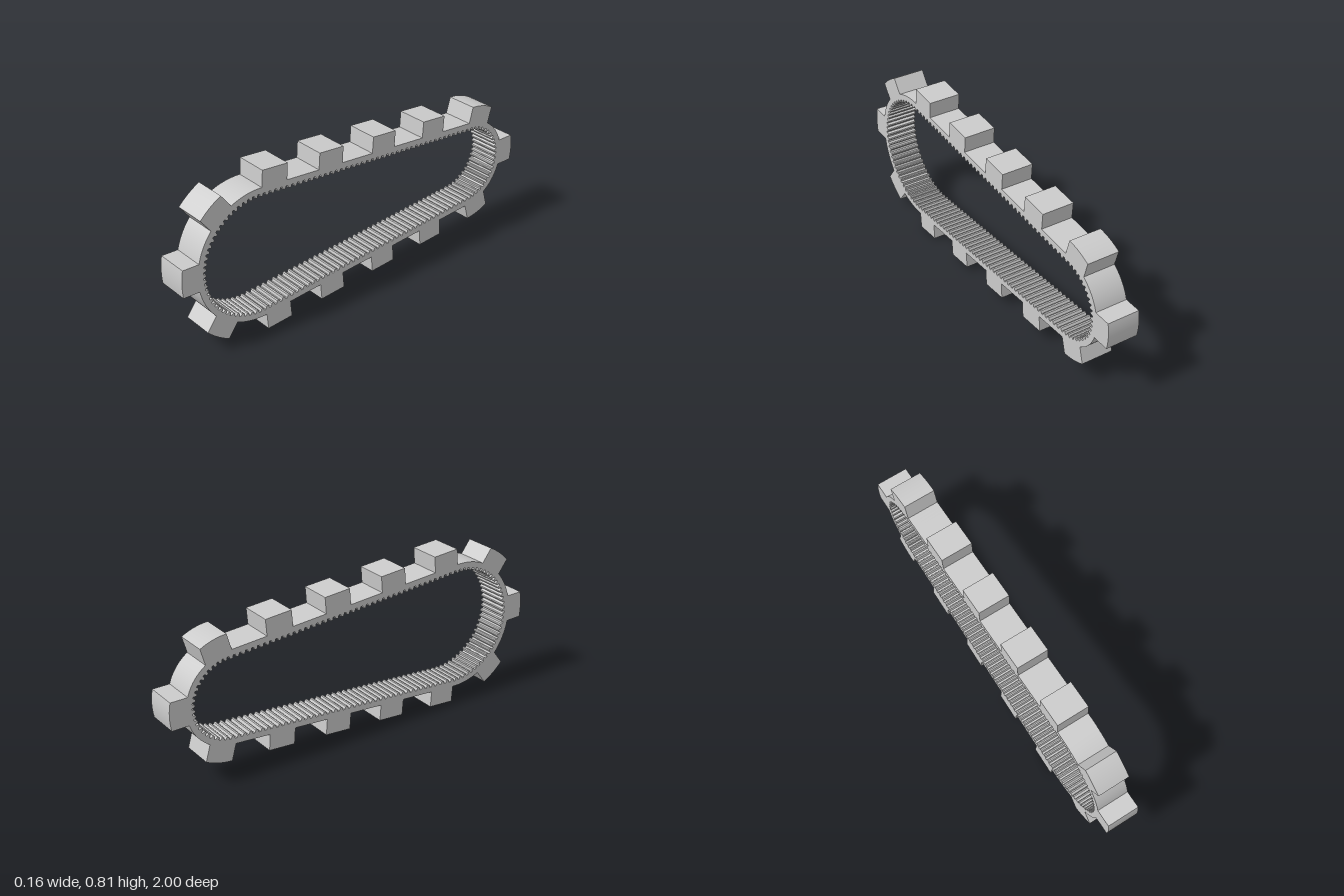
import * as THREE from 'three';
import { toCreasedNormals } from 'three/addons/utils/BufferGeometryUtils.js';

// Belt wraps a large front wheel and a small rear wheel (z, radius), both at height CY
const CY = 0.407, WIDTH = 0.158;
const FRONT = { z: 0.593, r: 0.326 }, REAR = { z: -0.69, r: 0.229 };
const DIST = FRONT.z - REAR.z;
const TILT = Math.asin((FRONT.r - REAR.r) / DIST);
const RUN = DIST * Math.cos(TILT);               // straight part
const REAR_ARC = (Math.PI / 2 - TILT) * REAR.r;  // rear tip to straight part
const FRONT_ARC = (Math.PI / 2 + TILT) * FRONT.r;
const HALF = REAR_ARC + RUN + FRONT_ARC;

// Point in (z, y) at distance s round the belt from its rear tip, raised by h
function beltPoint(s, h) {
  if (s > HALF) {
    const p = beltPoint(2 * HALF - s, h);
    return new THREE.Vector2(p.x, 2 * CY - p.y);
  }
  const onArc = (w, a) =>
    new THREE.Vector2(w.z + (w.r + h) * Math.cos(a), CY + (w.r + h) * Math.sin(a));
  if (s < REAR_ARC) return onArc(REAR, Math.PI - s / REAR.r);
  if (s > REAR_ARC + RUN) return onArc(FRONT, (HALF - s) / FRONT.r);
  const t = s - REAR_ARC;
  const p = onArc(REAR, Math.PI / 2 + TILT);
  return p.add(new THREE.Vector2(Math.cos(TILT) * t, Math.sin(TILT) * t));
}

// Extrude a (z, y) outline across the width of the belt
function extrude(shape, crease) {
  const geo = new THREE.ExtrudeGeometry(shape, { depth: WIDTH, bevelEnabled: false });
  geo.translate(0, 0, -WIDTH / 2);
  geo.rotateY(-Math.PI / 2);
  return toCreasedNormals(geo, crease);
}

// Smooth outside, toothed inside
function beltGeometry() {
  const outer = [], inner = [], N = 280, TEETH = 140;
  for (let i = 0; i < N; i++) outer.push(beltPoint((i / N) * 2 * HALF, 0));
  const profile = [[0, -0.028], [0.3, -0.028], [0.45, -0.041], [0.65, -0.043], [0.85, -0.041]];
  for (let i = 0; i < TEETH; i++)
    for (const [f, h] of profile) inner.push(beltPoint(((i + f) / TEETH) * 2 * HALF, h));
  const shape = new THREE.Shape(outer);
  // the hole runs opposite to the outline so its walls face inward
  shape.holes.push(new THREE.Path(inner.reverse()));
  return extrude(shape, 0.4);
}

// Block with parallel sides; its top is an arc about the wheel, or flat when radius is 0
function lugGeometry(radius) {
  const w = 0.068, h = 0.081, steps = radius ? 12 : 1;
  const pts = [new THREE.Vector2(-w, -0.02), new THREE.Vector2(w, -0.02)];
  for (let i = 0; i <= steps; i++) {
    const u = w - (2 * w * i) / steps;
    const y = radius ? Math.sqrt((radius + h) ** 2 - u * u) - radius : h;
    pts.push(new THREE.Vector2(u, y));
  }
  return extrude(new THREE.Shape(pts), 0.4);
}

export function createModel() {
  const group = new THREE.Group();
  const material = new THREE.MeshStandardMaterial({ color: 0xcccccc });

  const belt = new THREE.Mesh(beltGeometry(), material);
  belt.name = 'toothedBelt';
  group.add(belt);

  const flat = lugGeometry(0), onRear = lugGeometry(REAR.r), onFront = lugGeometry(FRONT.r);
  const addLug = (geo, s, name) => {
    const lug = new THREE.Mesh(geo, material);
    const p = beltPoint(s, 0), n = beltPoint(s, 1).sub(p);
    // On the straight part the normal leans by the tilt of the belt
    const straight = geo === flat;
    const up = straight ? Math.sign(p.y - CY) : 0;
    lug.position.set(0, p.y, p.x);
    lug.rotation.x = straight
      ? Math.atan2(-Math.sin(TILT), up * Math.cos(TILT))
      : Math.atan2(n.x, n.y);
    lug.name = name;
    group.add(lug);
  };

  // Tip lugs
  addLug(onRear, 0, 'rearLug');
  addLug(onFront, HALF - 0.011, 'frontLug');

  // Lugs mirrored on the upper and lower halves
  for (const [side, at] of [['upper', (s) => s], ['lower', (s) => 2 * HALF - s]]) {
    addLug(onRear, at(0.297), side + 'RearCornerLug');
    for (let i = 0; i < 4; i++) addLug(flat, at(REAR_ARC + 0.27 + i * 0.314), side + 'Lug' + (i + 1));
    addLug(onFront, at(HALF - 0.302), side + 'FrontCornerLug');
  }
  return group;
}
